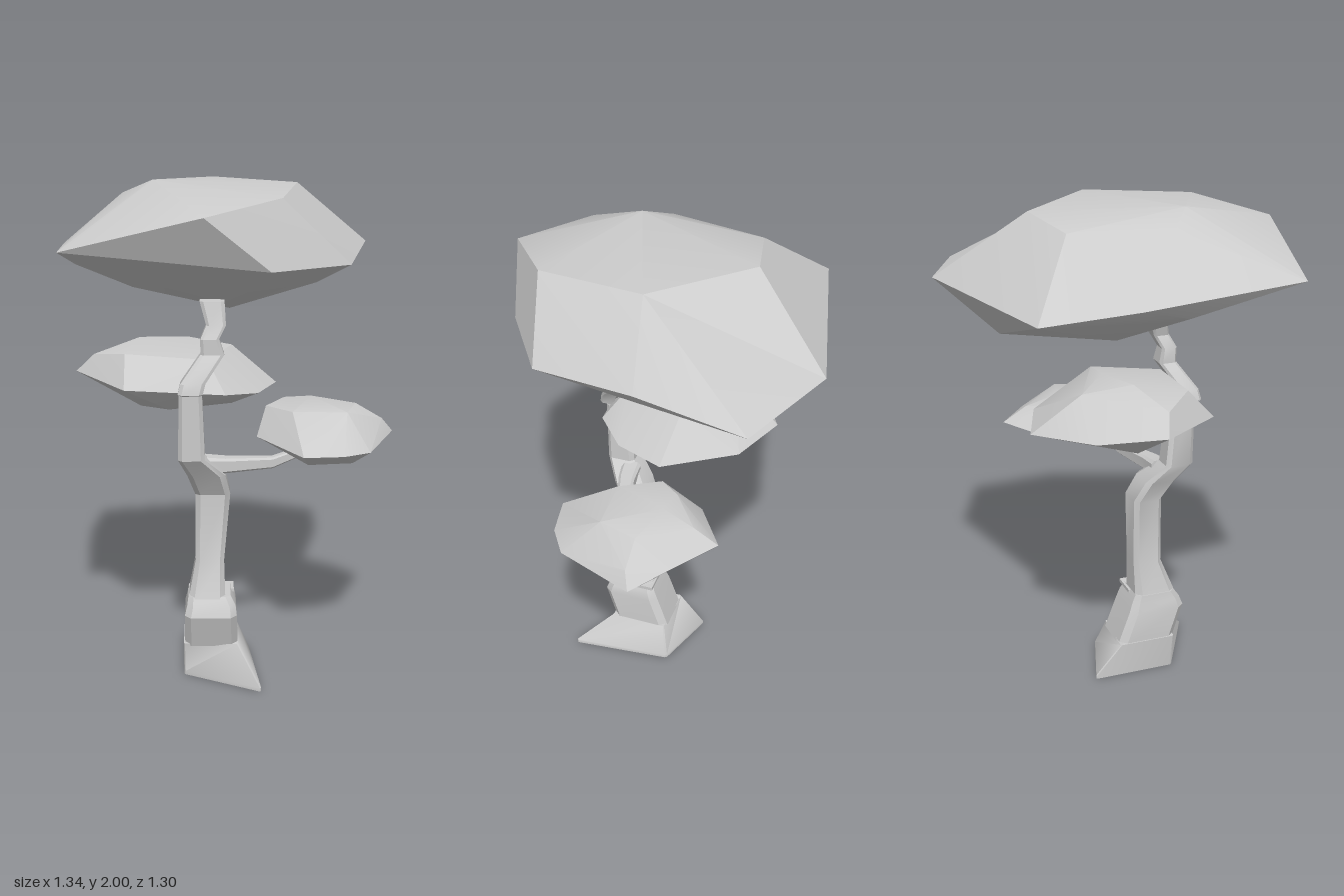
import * as THREE from 'three';
import { toCreasedNormals } from 'three/addons/utils/BufferGeometryUtils.js';
import { ConvexGeometry } from 'three/addons/geometries/ConvexGeometry.js';

const grey = new THREE.MeshStandardMaterial({ color: 0xcccccc });
grey.name = 'paleGrey';

// Lofts four-cornered sections with cut corners; corners run front-right, back-right, back-left, front-left.
function loft(sections, cut) {
  const rings = sections.map(({ y, c }) => c.flatMap((p, i) =>
    [c[(i + 3) % 4], c[(i + 1) % 4]].map(q =>
      [p[0] + (q[0] - p[0]) * cut, y, p[1] + (q[1] - p[1]) * cut])));
  const pos = [];
  const tri = (...pts) => pts.forEach(p => pos.push(...p));
  for (let r = 0; r + 1 < rings.length; r++) {
    const a = rings[r], b = rings[r + 1];
    for (let i = 0; i < 8; i++) {
      const j = (i + 1) % 8;
      tri(a[i], a[j], b[j]);
      tri(a[i], b[j], b[i]);
    }
  }
  const low = rings[0], top = rings[rings.length - 1];
  for (let i = 1; i < 7; i++) {
    tri(low[0], low[i + 1], low[i]);
    tri(top[0], top[i], top[i + 1]);
  }
  const g = new THREE.BufferGeometry();
  g.setAttribute('position', new THREE.Float32BufferAttribute(pos, 3));
  return g;
}

const rect = ([y, x0, x1, z0, z1]) => ({ y, c: [[x1, z1], [x1, z0], [x0, z0], [x0, z1]] });
const around = ([x, y, z, w, d]) => rect([y, x - w, x + w, z - d, z + d]);

export function createModel() {
  const tree = new THREE.Group();
  tree.name = 'tree';
  const add = (name, geometry, crease = 0.45) => {
    const mesh = new THREE.Mesh(toCreasedNormals(geometry, crease), grey);
    mesh.name = name;
    tree.add(mesh);
  };
  const canopy = (name, points) =>
    add(name, new ConvexGeometry(points.map(p => new THREE.Vector3(...p))));

  // Flared skewed foot, softly shaded
  add('trunkFoot', loft([
    { y: 0, c: [[0.11, 0.40], [0.07, -0.02], [-0.2, -0.11], [-0.2, 0.23]] },
    { y: 0.015, c: [[0.11, 0.40], [0.07, -0.02], [-0.2, -0.11], [-0.2, 0.23]] },
    { y: 0.14, c: [[0.02, 0.25], [0.02, 0.01], [-0.2, 0], [-0.2, 0.24]] },
  ], 0.02), 0.9);

  // Thick lower block and the bent trunk
  add('trunkBlock', loft([
    [0.13, -0.195, 0.02, 0.0, 0.245],
    [0.27, -0.195, 0.015, 0.05, 0.29],
    [0.31, -0.185, 0.01, 0.065, 0.275],
    [0.345, -0.18, -0.01, 0.08, 0.25],
  ].map(rect), 0.12));
  add('trunk', loft([
    [0.3, -0.185, -0.03, 0.08, 0.27],
    [0.48, -0.15, -0.035, 0.08, 0.2],
    [0.76, -0.15, -0.01, 0.08, 0.2],
    [0.85, -0.18, -0.03, 0.12, 0.25],
    [0.93, -0.215, -0.11, 0.19, 0.305],
    [1.19, -0.21, -0.12, 0.215, 0.31],
    [1.21, -0.21, -0.12, 0.23, 0.335],
  ].map(rect), 0.15));
  const ledge = new THREE.BoxGeometry(0.11, 0.015, 0.08);
  ledge.translate(-0.05, 0.335, 0.11);
  add('barkLedge', ledge);

  // Zigzag upper branch
  add('upperBranch', loft([
    [-0.165, 1.2, 0.295, 0.048, 0.042],
    [-0.155, 1.24, 0.29, 0.048, 0.038],
    [-0.08, 1.34, 0.225, 0.046, 0.036],
    [-0.09, 1.4, 0.23, 0.036, 0.032],
    [-0.065, 1.45, 0.205, 0.038, 0.032],
    [-0.08, 1.54, 0.18, 0.048, 0.036],
  ].map(around), 0.15));

  // Side branch, lofted upright and then laid over towards +x
  const side = loft([
    [-0.885, -0.12, 0.2, 0.04, 0.04],
    [-0.885, -0.03, 0.19, 0.03, 0.035],
    [-0.88, 0.16, 0.14, 0.022, 0.024],
    [-0.91, 0.26, 0.11, 0.018, 0.02],
    [-0.94, 0.32, 0.1, 0.015, 0.018],
  ].map(around), 0.15);
  side.rotateZ(-Math.PI / 2);
  add('sideBranch', side);

  // Top foliage: two overlapping hulls leave a shallow valley at the back right
  const topPoints = [
    [-0.63, 1.7, -0.47], [0.15, 1.7, -0.65], [0.535, 1.74, -0.06],
    [0.435, 1.7, 0.36], [0.13, 1.7, 0.565], [-0.11, 1.9, 0.648], [-0.63, 1.77, 0.545],
    [-0.67, 1.73, -0.1],
    [-0.345, 1.945, -0.27], [-0.3, 2, 0.205], [0.255, 1.975, 0],
    [0.175, 1.95, 0.435], [-0.42, 1.945, 0.115],
    [-0.61, 1.67, 0.1], [-0.4, 1.55, -0.1], [-0.01, 1.48, 0], [0, 1.495, -0.43],
    [0.23, 1.535, -0.2], [0.35, 1.56, -0.15], [-0.05, 1.58, 0.27],
  ];
  canopy('topCanopyCrown', [...topPoints, [-0.07, 1.975, -0.33]]);
  canopy('topCanopyRim', [...topPoints, [0.555, 1.675, -0.48]]);

  // Lower foliage: rim, crown, underside
  canopy('middleCanopy', [
    [-0.625, 1.23, 0.02], [-0.42, 1.21, 0.29], [-0.03, 1.19, 0.29], [0.1, 1.17, 0.17],
    [0.18, 1.17, -0.03], [0, 1.17, -0.3], [-0.25, 1.165, -0.39], [-0.52, 1.2, -0.22],
    [-0.55, 1.305, 0.05], [-0.37, 1.36, -0.02], [-0.18, 1.35, -0.08], [0, 1.32, -0.06],
    [-0.42, 1.33, 0.18], [-0.1, 1.31, 0.2], [-0.3, 1.32, -0.2],
    [-0.37, 1.08, 0], [0, 1.075, -0.06], [-0.15, 1.07, -0.17], [-0.25, 1.11, 0.19],
  ]);
  canopy('smallCanopy', [
    [0.668, 0.95, -0.075], [0.54, 0.945, 0.245], [0.43, 0.95, 0.32], [0.27, 0.955, 0.35],
    [0.1, 0.96, 0.05], [0.15, 0.98, -0.2], [0.35, 0.99, -0.33], [0.54, 0.98, -0.19],
    [0.14, 1.07, -0.03], [0.33, 1.095, -0.1], [0.22, 1.085, -0.12], [0.51, 1.075, -0.05],
    [0.24, 1.08, 0.12], [0.46, 1.075, 0.11], [0.35, 1.05, -0.23], [0.62, 1.01, -0.05],
    [0.5, 0.87, 0], [0.35, 0.865, 0], [0.3, 0.88, 0.19], [0.4, 0.905, -0.13], [0.48, 0.875, 0.15],
  ]);
  return tree;
}
